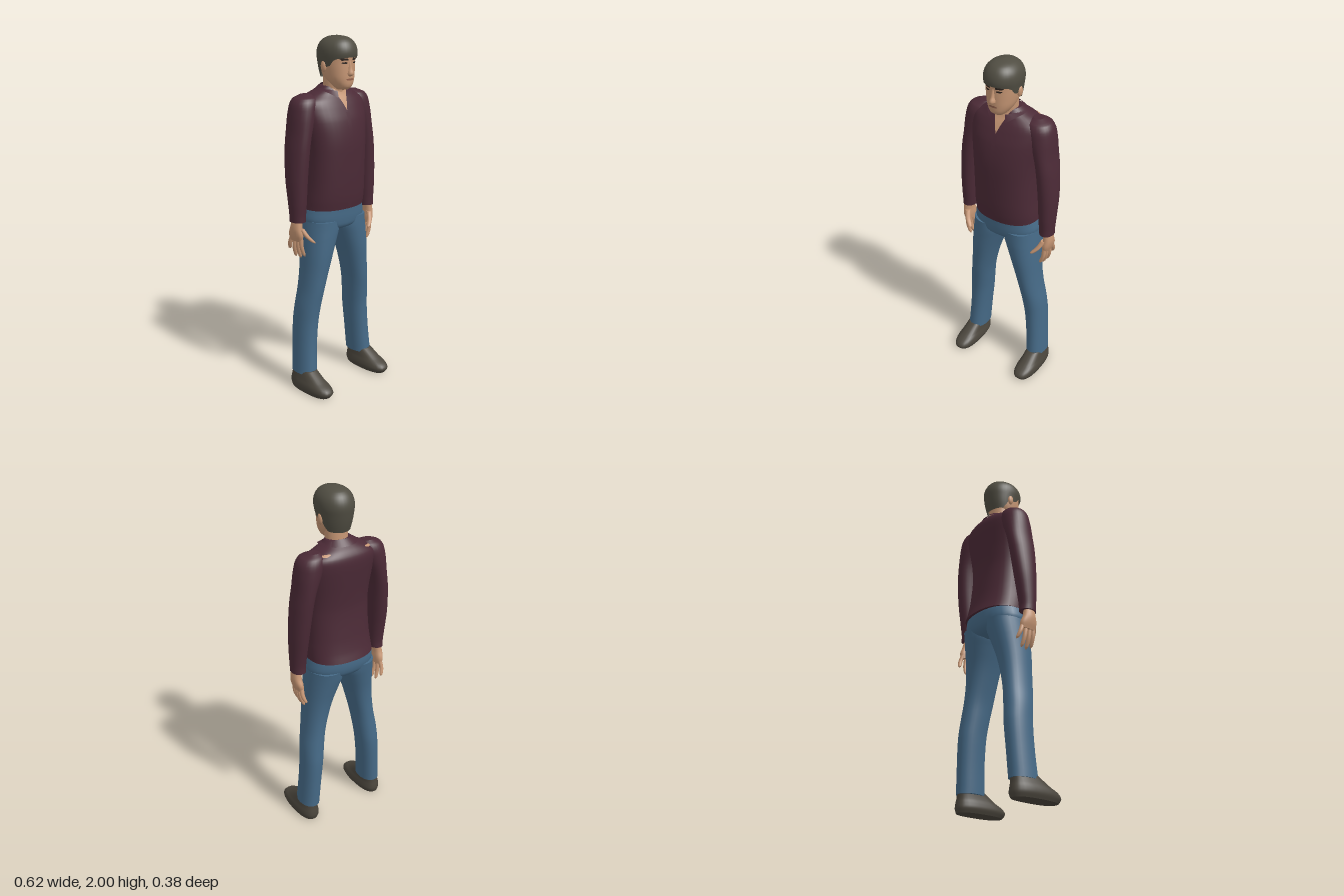
import * as THREE from 'three';

const mat = (name, color, side = THREE.FrontSide) => {
  const m = new THREE.MeshStandardMaterial({ color, side });
  m.name = name;
  return m;
};
const shirt = mat('maroon shirt', 0x4b2a36, THREE.DoubleSide);
const denim = mat('blue denim', 0x466a87);
const skin = mat('skin', 0xc69674);
const hairMat = mat('dark hair', 0x504d42, THREE.DoubleSide);
const leather = mat('shoe leather', 0x4a453c);
const dark = mat('brow and eye', 0x2c221d);
const lip = mat('lips', 0x96644f);

// Section: [y, xMin, xMax, zBack, zFront]
const sym = rows => rows.map(([y, x, zb, zf]) => [y, -x, x, zb, zf]);
const side = (rows, s) => s > 0 ? rows : rows.map(([y, a, b, zb, zf]) => [y, -b, -a, zb, zf]);

// Smoothly adds sections between the given ones
function refine(rows, n = 4) {
  const r = [...rows].sort((a, b) => a[0] - b[0]);
  const out = [];
  for (let i = 0; i < r.length - 1; i++) {
    const p = r[Math.max(0, i - 1)], a = r[i], b = r[i + 1], q = r[Math.min(r.length - 1, i + 2)];
    for (let k = 0; k < n; k++) {
      const t = k / n, h = t * t * (3 - 2 * t);
      const tan = (l, m, u, c) => (u[c] - l[c]) / (u[0] - l[0] || 1) * (b[0] - a[0]);
      out.push(a.map((v, c) => c === 0 ? v + (b[0] - v) * t
        : v + (b[c] - v) * h + tan(p, a, b, c) * t * (1 - t) ** 2 - tan(a, b, q, c) * t * t * (1 - t)));
    }
  }
  out.push(r[r.length - 1]);
  return out;
}

function sectionAt(rows, y) {
  let i = 0;
  while (i < rows.length - 2 && rows[i + 1][0] < y) i++;
  const a = rows[i], b = rows[i + 1];
  const t = THREE.MathUtils.clamp((y - a[0]) / (b[0] - a[0]), 0, 1);
  return a.map((v, c) => v + (b[c] - v) * t);
}

function geometry(pos, idx) {
  const g = new THREE.BufferGeometry();
  g.setAttribute('position', new THREE.Float32BufferAttribute(pos, 3));
  g.setIndex(idx);
  g.computeVertexNormals();
  return g;
}

function mesh(parent, name, geo, material) {
  const m = new THREE.Mesh(geo, material);
  m.name = name;
  parent.add(m);
  return m;
}

// Skin over rounded horizontal sections; low(cosAngle) gives an uneven lower edge
function loft(rows, { p = 2, seg = 28, low = null } = {}) {
  const r = refine(rows), pos = [], idx = [];
  const y0 = r[0][0], y1 = r[r.length - 1][0];
  const pw = v => Math.sign(v) * Math.abs(v) ** (2 / p);
  r.forEach(row => {
    for (let j = 0; j < seg; j++) {
      const a = j / seg * Math.PI * 2, c = Math.cos(a);
      let y = row[0], s = row;
      if (low) {
        const l = low(c);
        y = l + (row[0] - y0) / (y1 - y0) * (y1 - l);
        s = sectionAt(r, y);
      }
      pos.push((s[1] + s[2]) / 2 + (s[2] - s[1]) / 2 * pw(Math.sin(a)), y,
        (s[3] + s[4]) / 2 + (s[4] - s[3]) / 2 * pw(c));
    }
  });
  for (let i = 0; i < r.length - 1; i++) for (let j = 0; j < seg; j++) {
    const k = (j + 1) % seg, a = i * seg + j, b = i * seg + k;
    idx.push(a, b, b + seg, a, b + seg, a + seg);
  }
  // End caps with their own vertices
  for (const [ring, up] of [[0, false], [r.length - 1, true]]) {
    if (low && !up) continue;
    const s = r[ring], o = pos.length / 3;
    pos.push(...pos.slice(ring * seg * 3, (ring + 1) * seg * 3));
    pos.push((s[1] + s[2]) / 2, s[0], (s[3] + s[4]) / 2);
    for (let j = 0; j < seg; j++) {
      const a = o + j, b = o + (j + 1) % seg;
      idx.push(...(up ? [a, b, o + seg] : [b, a, o + seg]));
    }
  }
  return geometry(pos, idx);
}

// Thin patch lying on the front (dir 1) or back (dir -1) of a loft; outline: [y, xMin, xMax]
function patch(rows, outline, { p = 2, dir = 1, lift = 0.003 } = {}) {
  const r = refine(rows), o = refine(outline, 6), pos = [], idx = [], n = 8;
  o.forEach(([y, a, b]) => {
    const s = sectionAt(r, y), cx = (s[1] + s[2]) / 2, rx = (s[2] - s[1]) / 2;
    for (let j = 0; j <= n; j++) {
      const x = dir > 0 ? a + (b - a) * j / n : b + (a - b) * j / n;
      const d = Math.max(0, 1 - Math.abs((x - cx) / rx) ** p) ** (1 / p);
      pos.push(x, y, (s[3] + s[4]) / 2 + dir * ((s[4] - s[3]) / 2 * d + lift));
    }
  });
  for (let i = 0; i < o.length - 1; i++) for (let j = 0; j < n; j++) {
    const a = i * (n + 1) + j, c = a + n + 1;
    idx.push(a, a + 1, c + 1, a, c + 1, c);
  }
  return geometry(pos, idx);
}

function finger(base, tip, r) {
  const rows = [[0, 1], [0.5, 0.95], [0.9, 0.75], [1, 0.25]].map(([t, k]) => {
    const [x, y, z] = base.map((v, i) => v + (tip[i] - v) * t);
    const bow = 0.008 * Math.sin(t * Math.PI);
    return [y, x + bow - r * k, x + bow + r * k, z - r * k, z + r * k];
  });
  return rows;
}

const TORSO = sym([[1.065, 0.192, -0.187, 0.104], [1.12, 0.19, -0.17, 0.112], [1.2, 0.185, -0.155, 0.118],
  [1.35, 0.183, -0.14, 0.122], [1.45, 0.19, -0.145, 0.12], [1.55, 0.205, -0.155, 0.104],
  [1.62, 0.213, -0.16, 0.078], [1.66, 0.205, -0.155, 0.058], [1.69, 0.155, -0.138, 0.04],
  [1.715, 0.1, -0.112, 0.03], [1.735, 0.074, -0.09, 0.02]]);
const ARM = [[1.697, 0.14, 0.2, -0.09, -0.03], [1.675, 0.11, 0.248, -0.12, 0.012], [1.62, 0.12, 0.27, -0.135, 0.03],
  [1.5, 0.17, 0.283, -0.135, 0.035], [1.4, 0.19, 0.298, -0.128, 0.035], [1.25, 0.205, 0.309, -0.11, 0.03],
  [1.12, 0.215, 0.307, -0.088, 0.025], [1.05, 0.22, 0.304, -0.078, 0.02], [1.015, 0.223, 0.303, -0.08, 0.02]];
const PELVIS = sym([[1.1, 0.18, -0.165, 0.098], [1.05, 0.195, -0.173, 0.095], [0.99, 0.198, -0.166, 0.09],
  [0.955, 0.15, -0.14, 0.078], [0.935, 0.07, -0.09, 0.04]]);
const LEG = [[1.0, 0, 0.2, -0.165, 0.086], [0.95, 0, 0.205, -0.156, 0.086], [0.9, 0.018, 0.209, -0.145, 0.085],
  [0.8, 0.055, 0.216, -0.125, 0.08], [0.7, 0.085, 0.223, -0.115, 0.07], [0.6, 0.11, 0.234, -0.115, 0.06],
  [0.5, 0.125, 0.25, -0.122, 0.045], [0.4, 0.138, 0.258, -0.13, 0.035], [0.25, 0.153, 0.267, -0.126, 0.036],
  [0.1, 0.163, 0.277, -0.12, 0.047]];
const SHOE = [[0, 0.172, 0.282, -0.115, 0.175], [0.025, 0.162, 0.29, -0.122, 0.192], [0.05, 0.165, 0.288, -0.12, 0.175],
  [0.075, 0.172, 0.28, -0.115, 0.125], [0.12, 0.178, 0.268, -0.11, 0.05]];
const PALM = [[1.04, 0.245, 0.29, -0.055, 0.005], [0.98, 0.25, 0.3, -0.068, 0.012],
  [0.94, 0.248, 0.296, -0.085, 0.018], [0.905, 0.25, 0.285, -0.085, 0.01]];
const NECK = sym([[1.6, 0.06, -0.08, 0.035], [1.7, 0.062, -0.075, 0.038], [1.8, 0.066, -0.07, 0.05]]);
const HEAD = sym([[1.718, 0.028, 0.02, 0.08], [1.735, 0.047, -0.01, 0.1], [1.77, 0.07, -0.05, 0.106],
  [1.81, 0.081, -0.08, 0.107], [1.86, 0.087, -0.09, 0.106], [1.92, 0.085, -0.09, 0.105], [1.965, 0.055, -0.05, 0.075]]);
const NOSE = sym([[1.79, 0.01, 0.08, 0.11], [1.802, 0.017, 0.08, 0.129], [1.83, 0.011, 0.08, 0.119], [1.872, 0.009, 0.08, 0.108]]);
const HAIR = sym([[1.77, 0.078, -0.086, 0.1], [1.82, 0.088, -0.1, 0.107], [1.87, 0.095, -0.109, 0.116],
  [1.91, 0.099, -0.112, 0.124], [1.95, 0.091, -0.1, 0.114], [1.98, 0.067, -0.075, 0.09],
  [1.995, 0.036, -0.04, 0.055], [2.0, 0.004, 0, 0.01]]);

// Hairline height against the cosine of the angle from the front
function hairline(c) {
  const pts = [[-1, 1.775], [-0.45, 1.783], [-0.12, 1.84], [0.3, 1.84], [0.55, 1.88], [1, 1.89]];
  let i = 0;
  while (i < pts.length - 2 && pts[i + 1][0] < c) i++;
  const [a, b] = [pts[i], pts[i + 1]];
  return a[1] + (b[1] - a[1]) * (c - a[0]) / (b[0] - a[0]);
}

// Folded collar strip, open at the throat
function collar() {
  const pos = [], idx = [], n = 32;
  for (let i = 0; i <= n; i++) {
    const a = 0.42 + (Math.PI * 2 - 0.84) * i / n, k = Math.cos(a), s = Math.sin(a);
    pos.push(0.075 * s, 1.727 - 0.018 * k, -0.022 + 0.072 * k);
    pos.push(0.108 * s, 1.713 - 0.05 * Math.max(0, k) ** 3, -0.025 + 0.1 * k);
    if (i < n) idx.push(2 * i, 2 * i + 1, 2 * i + 3, 2 * i, 2 * i + 3, 2 * i + 2);
  }
  return geometry(pos, idx);
}

export function createModel() {
  const g = new THREE.Group();
  g.name = 'standingMan';

  // Shirt body and throat
  mesh(g, 'shirtBody', loft(TORSO, { p: 2.3, seg: 36 }), shirt);
  mesh(g, 'throat', patch(TORSO, [[1.61, -0.001, 0.001], [1.66, -0.02, 0.02], [1.7, -0.038, 0.038], [1.73, -0.05, 0.05]], { p: 2.3 }), skin);
  mesh(g, 'placket', patch(TORSO, [[1.075, -0.012, 0.012], [1.35, -0.012, 0.012], [1.6, -0.012, 0.012]], { p: 2.3 }), shirt);
  mesh(g, 'collar', collar(), shirt);

  // Head
  mesh(g, 'neck', loft(NECK), skin);
  mesh(g, 'head', loft(HEAD, { p: 2.2 }), skin);
  mesh(g, 'nose', loft(NOSE, { seg: 12 }), skin);
  mesh(g, 'hair', loft(HAIR, { p: 2.1, seg: 36, low: hairline }), hairMat);
  mesh(g, 'mouth', patch(HEAD, [[1.769, -0.014, 0.014], [1.774, -0.028, 0.028], [1.78, -0.012, 0.012]], { p: 2.2 }), lip);

  mesh(g, 'hips', loft(PELVIS, { p: 2.3 }), denim);

  for (const s of [1, -1]) {
    const tag = s > 0 ? 'left' : 'right';
    const on = (name, rows, material, opt) => mesh(g, tag + name, loft(side(rows, s), opt), material);
    const span = (y, a, b) => s > 0 ? [y, a, b] : [y, -b, -a];

    // Face details
    mesh(g, tag + 'Brow', patch(HEAD, [span(1.874, 0.014, 0.05), span(1.886, 0.018, 0.064)], { p: 2.2 }), dark);
    mesh(g, tag + 'Eye', patch(HEAD, [span(1.857, 0.026, 0.042), span(1.861, 0.019, 0.05), span(1.866, 0.026, 0.046)], { p: 2.2 }), dark);
    const ear = mesh(g, tag + 'Ear', new THREE.SphereGeometry(0.03, 12, 10), skin);
    ear.scale.set(0.4, 1, 0.62);
    ear.position.set(s * 0.09, 1.842, -0.002);

    // Worn gap at the shoulder blade
    mesh(g, tag + 'ShoulderGap', patch(TORSO, [span(1.68, 0.13, 0.15), span(1.688, 0.108, 0.142), span(1.692, 0.108, 0.115)],
      { p: 2.3, dir: -1, lift: 0.004 }), skin);

    // Limbs
    on('Sleeve', ARM, shirt, { p: 2.1 });
    on('Leg', LEG, denim, { p: 2.2 });
    on('Shoe', SHOE, leather, { p: 2.5 });

    // Hand
    on('Palm', PALM, skin, { p: 2.3, seg: 16 });
    [[[0.268, 0.925, 0.002], [0.244, 0.815, 0.004]], [[0.268, 0.92, -0.022], [0.243, 0.8, -0.029]],
      [[0.268, 0.92, -0.047], [0.248, 0.803, -0.063]], [[0.268, 0.925, -0.072], [0.257, 0.84, -0.102]],
    ].forEach(([a, b], i) => on('Finger' + (i + 1), finger(a, b, 0.0125), skin, { seg: 10 }));
    on('Thumb', finger([0.262, 0.975, 0.004], [0.21, 0.895, 0.05], 0.015), skin, { seg: 10 });
  }
  return g;
}
